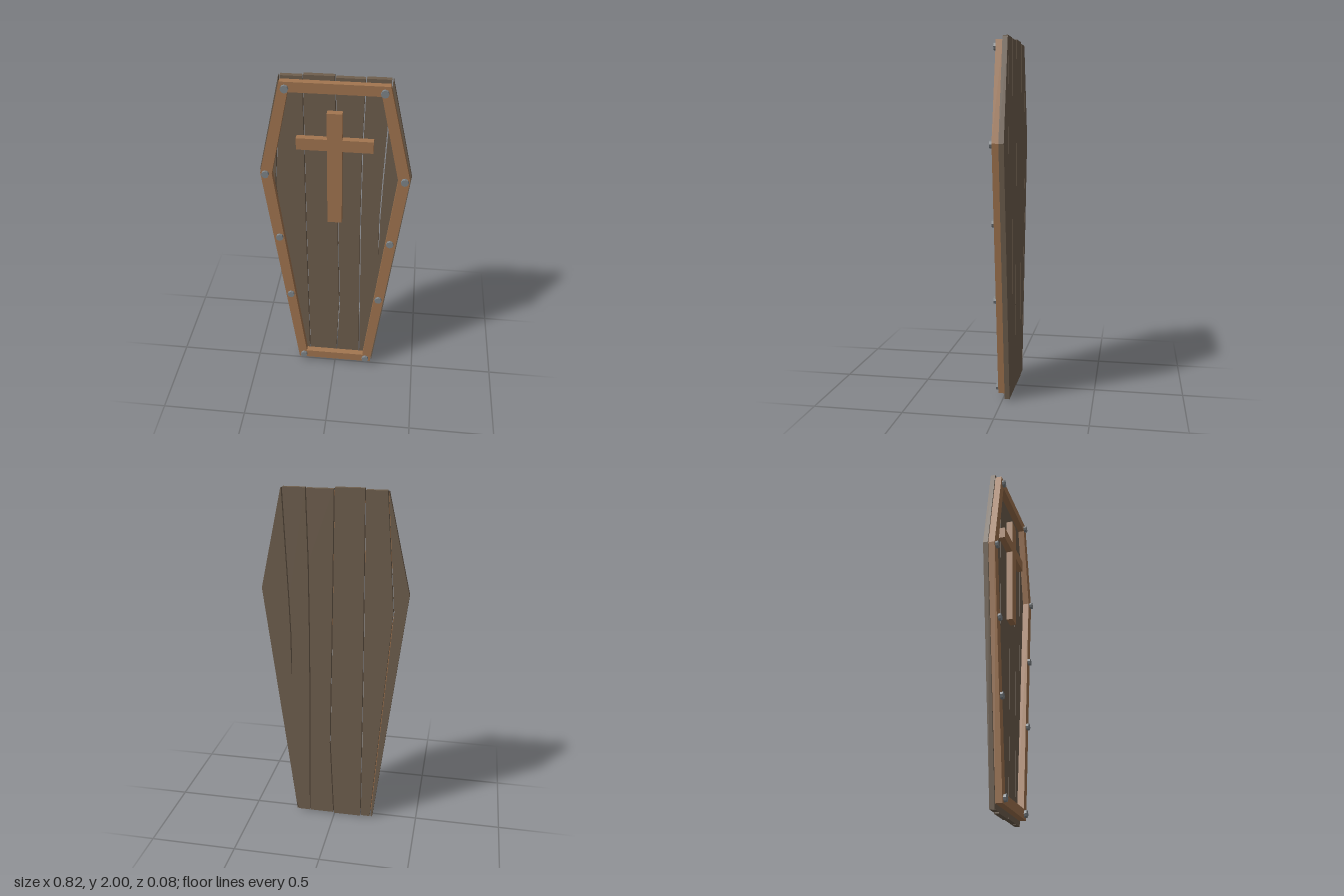
import * as THREE from 'three';

const wood = new THREE.MeshStandardMaterial({ color: 0xa37650 });
wood.name = 'warm trim wood';
const darkWood = new THREE.MeshStandardMaterial({ color: 0x6f5f4e });
darkWood.name = 'weathered plank wood';
const iron = new THREE.MeshStandardMaterial({ color: 0x80868a });
iron.name = 'grey iron';

const toShape = (pts) => new THREE.Shape(pts.map(([x, y]) => new THREE.Vector2(x, y)));

// Flat slab cut from an outline, between two depths
function slab(name, shape, z0, z1, material) {
  const geo = new THREE.ExtrudeGeometry(shape, { depth: z1 - z0, bevelEnabled: false });
  geo.translate(0, 0, z0);
  const mesh = new THREE.Mesh(geo, material);
  mesh.name = name;
  return mesh;
}

// Six-sided symmetric outline: half widths and heights at top, shoulder and foot
const hexagon = (xt, yt, xs, ys, xb, yb) =>
  [[-xb, yb], [xb, yb], [xs, ys], [xt, yt], [-xt, yt], [-xs, ys]];

export function createModel() {
  const group = new THREE.Group();
  group.name = 'coffinLid';

  // Back planks: each lies between two seams (bottom to top), a narrow gap apart
  const seams = [
    [[-0.235, 0.01], [-0.41, 1.44], [-0.285, 1.99]],
    [[-0.222, 0.01], [-0.328, 1.34], [-0.281, 1.99]],
    [[-0.163, 0.005], [-0.166, 1.0], [-0.163, 1.995]],
    [[0.006, 0], [0.026, 0.5], [0.014, 1.15], [0, 2]],
    [[0.155, 0.005], [0.143, 1.1], [0.144, 1.6], [0.153, 1.995]],
    [[0.232, 0.01], [0.262, 0.25], [0.25, 1.15], [0.257, 1.38], [0.282, 1.99]],
    [[0.235, 0.01], [0.41, 1.44], [0.288, 1.99]],
  ];
  const endY = [[0.01, 1.99], [0.01, 1.992], [0.005, 2], [0.01, 1.992], [0.01, 1.995], [0.01, 1.99]];
  const planks = new THREE.Group();
  planks.name = 'planks';
  for (let i = 0; i < 6; i++) {
    const trim = (seam, dx) => seam.map(([x, y], k) =>
      [x + dx, k === 0 ? endY[i][0] : k === seam.length - 1 ? endY[i][1] : y]);
    const left = trim(seams[i], i === 0 ? 0 : 0.003);
    const right = trim(seams[i + 1], i === 5 ? 0 : -0.003);
    planks.add(slab('plank' + (i + 1), toShape([...left, ...right.reverse()]), -0.04, -0.012, darkWood));
  }
  planks.children[2].scale.y = 1;
  group.add(planks);

  // Raised border
  const border = toShape(hexagon(0.278, 1.975, 0.403, 1.44, 0.228, 0.04));
  border.holes.push(toShape(hexagon(0.236, 1.92, 0.34, 1.435, 0.18, 0.095)));
  group.add(slab('borderFrame', border, -0.012, 0.025, wood));

  // Cross
  const cross = toShape([
    [-0.04, 1.14], [0.04, 1.14], [0.04, 1.595], [0.203, 1.595], [0.203, 1.662], [0.04, 1.662],
    [0.04, 1.812], [-0.04, 1.812], [-0.04, 1.662], [-0.203, 1.662], [-0.203, 1.595], [-0.04, 1.595],
  ]);
  group.add(slab('cross', cross, -0.012, 0.024, wood));

  // Bolt heads, mirrored
  const boltGeo = new THREE.CylinderGeometry(0.021, 0.021, 0.02, 8).toNonIndexed();
  boltGeo.rotateX(Math.PI / 2);
  boltGeo.computeVertexNormals();
  const spots = [[0.25, 1.94], [0.375, 1.435], [0.315, 1.015], [0.265, 0.585], [0.198, 0.07]];
  for (const side of [-1, 1]) {
    for (const [x, y] of spots) {
      const bolt = new THREE.Mesh(boltGeo, iron);
      bolt.name = side > 0 ? 'leftBolt' : 'rightBolt';
      bolt.position.set(side * x, y, 0.03);
      group.add(bolt);
    }
  }
  return group;
}
